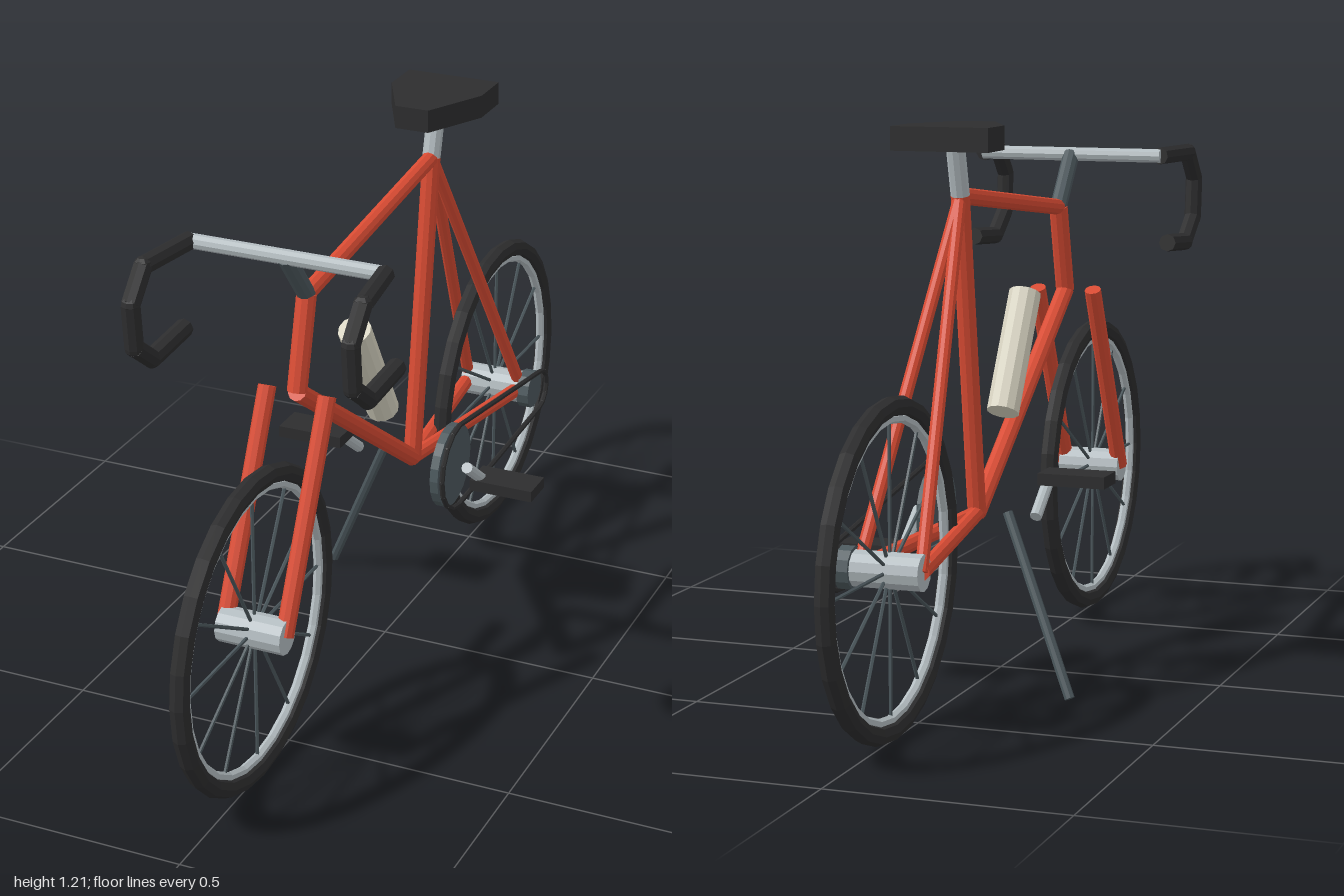
import * as THREE from 'three';

const paint = (name, color) => new THREE.MeshStandardMaterial({ name, color, flatShading: true });

export function createModel() {
  const red = paint('frame red', 0xd84b33);
  const silver = paint('silver', 0xb4bdc1);
  const slate = paint('slate', 0x4c585d);
  const black = paint('black', 0x2d2d2e);
  const cream = paint('cream', 0xd9d5c3);

  const bike = new THREE.Group();
  bike.name = 'bicycle';

  const add = (name, geometry, material, parent = bike) => {
    const mesh = new THREE.Mesh(geometry, material);
    mesh.name = name;
    parent.add(mesh);
    return mesh;
  };

  // Straight round bar between two points
  const UP = new THREE.Vector3(0, 1, 0);
  const bar = (name, a, b, radius, material, parent = bike, sides = 10) => {
    const from = new THREE.Vector3(...a), dir = new THREE.Vector3(...b).sub(from);
    const mesh = add(name, new THREE.CylinderGeometry(radius, radius, dir.length(), sides), material, parent);
    mesh.position.copy(from).addScaledVector(dir, 0.5);
    mesh.quaternion.setFromUnitVectors(UP, dir.normalize());
    return mesh;
  };

  // Bent bar: straight pieces with rounded joints
  const bentBar = (name, points, radius, material, sides = 8) => {
    const group = new THREE.Group();
    group.name = name;
    bike.add(group);
    for (let i = 0; i < points.length - 1; i++) {
      bar(name + 'Piece', points[i], points[i + 1], radius, material, group, sides);
      if (i > 0) {
        add(name + 'Joint', new THREE.SphereGeometry(radius, sides, 6), material, group).position.set(...points[i]);
      }
    }
    return group;
  };

  // Main joints of the frame
  const AXLE_Y = 0.353, AXLE_Z = 0.65;
  const headTop = [0, 0.99, 0.388], headLow = [0, 0.795, 0.438];
  const seatTop = [0, 1.064, -0.249], bottom = [0, 0.378, -0.152];

  // Wheels
  const makeWheel = (name, z) => {
    const wheel = new THREE.Group();
    wheel.name = name;
    wheel.position.set(0, AXLE_Y, z);
    bike.add(wheel);
    add('tyre', new THREE.TorusGeometry(0.327, 0.021, 8, 28), black, wheel).rotation.y = Math.PI / 2;
    add('rim', new THREE.TorusGeometry(0.303, 0.01, 6, 28), silver, wheel).rotation.y = Math.PI / 2;
    bar('hub', [-0.073, 0, 0], [0.073, 0, 0], 0.038, silver, wheel, 12);
    for (let i = 0; i < 12; i++) {
      const a = i * Math.PI / 6, s = Math.sin(a), c = Math.cos(a);
      bar('spoke', [0, 0.02 * s, 0.02 * c], [0, 0.303 * s, 0.303 * c], 0.004, slate, wheel, 5);
    }
  };
  makeWheel('frontWheel', AXLE_Z);
  makeWheel('rearWheel', -AXLE_Z);

  // Frame
  bar('headTube', headTop, headLow, 0.021, red);
  bar('topTube', headTop, seatTop, 0.018, red);
  bar('downTube', headLow, bottom, 0.02, red);
  bar('seatTube', seatTop, bottom, 0.02, red);
  for (const s of [-1, 1]) {
    const side = s > 0 ? 'left' : 'right';
    const dropout = [s * 0.067, AXLE_Y, -AXLE_Z];
    bar(side + 'ForkBlade', [s * 0.067, 0.797, 0.438], [s * 0.067, AXLE_Y, AXLE_Z], 0.019, red);
    bar(side + 'ChainStay', bottom, dropout, 0.017, red);
    bar(side + 'SeatStay', seatTop, dropout, 0.014, red);
  }

  // Stem, handlebar and drops
  bar('stem', headTop, [0, 1.105, 0.48], 0.019, slate);
  bar('handlebar', [-0.215, 1.105, 0.48], [0.215, 1.105, 0.48], 0.016, silver);
  for (const s of [-1, 1]) {
    bentBar(s > 0 ? 'leftDrop' : 'rightDrop', [
      [s * 0.213, 1.105, 0.48], [s * 0.235, 1.105, 0.632], [s * 0.235, 1.043, 0.688],
      [s * 0.235, 0.95, 0.68], [s * 0.235, 0.898, 0.612], [s * 0.235, 0.908, 0.47],
    ], 0.02, black);
  }

  // Seat post and saddle
  bar('seatPost', seatTop, [0, 1.165, -0.276], 0.02, silver);
  const outline = new THREE.Shape([
    [-0.106, 0.372], [0.106, 0.372], [0.106, 0.275], [0.038, 0.14], [-0.038, 0.14], [-0.106, 0.275],
  ].map(([x, back]) => new THREE.Vector2(x, back)));
  const saddle = add('saddle', new THREE.ExtrudeGeometry(outline, { depth: 0.05, bevelEnabled: false }), black);
  saddle.rotation.x = -Math.PI / 2;
  saddle.position.y = 1.162;

  // Water bottle
  bar('bottle', [0, 0.572, 0.012], [0, 0.818, 0.158], 0.036, cream, bike, 12);

  // Chainring, cog and chain
  bar('chainring', [0.083, 0.378, -0.152], [0.102, 0.378, -0.152], 0.096, slate, bike, 20);
  bar('cog', [0.073, AXLE_Y, -AXLE_Z], [0.102, AXLE_Y, -AXLE_Z], 0.045, slate, bike, 12);
  const chainPoints = [];
  const wrap = (y, z, radius, start, steps) => {
    for (let i = 0; i <= steps; i++) {
      const a = start + Math.PI * i / steps;
      chainPoints.push([0.114, y + radius * Math.sin(a), z + radius * Math.cos(a)]);
    }
  };
  wrap(0.381, -0.152, 0.099, -Math.PI / 2, 8);
  wrap(AXLE_Y, -AXLE_Z, 0.048, Math.PI / 2, 6);
  chainPoints.push(chainPoints[0]);
  bentBar('chain', chainPoints, 0.006, black, 6);

  // Cranks and pedals, half a turn apart
  for (const s of [-1, 1]) {
    const side = s > 0 ? 'left' : 'right';
    const y = 0.378 - s * 0.071, z = -0.152 - s * 0.093;
    bar(side + 'Crank', [s * 0.133, 0.378, -0.152], [s * 0.133, y, z], 0.013, silver);
    add(side + 'Pedal', new THREE.BoxGeometry(0.15, 0.026, 0.08), black).position.set(s * 0.193, y, z);
  }

  // Kickstand
  bar('kickstand', [-0.072, 0.385, -0.157], [-0.245, 0.017, -0.256], 0.011, slate, bike, 8);

  return bike;
}
